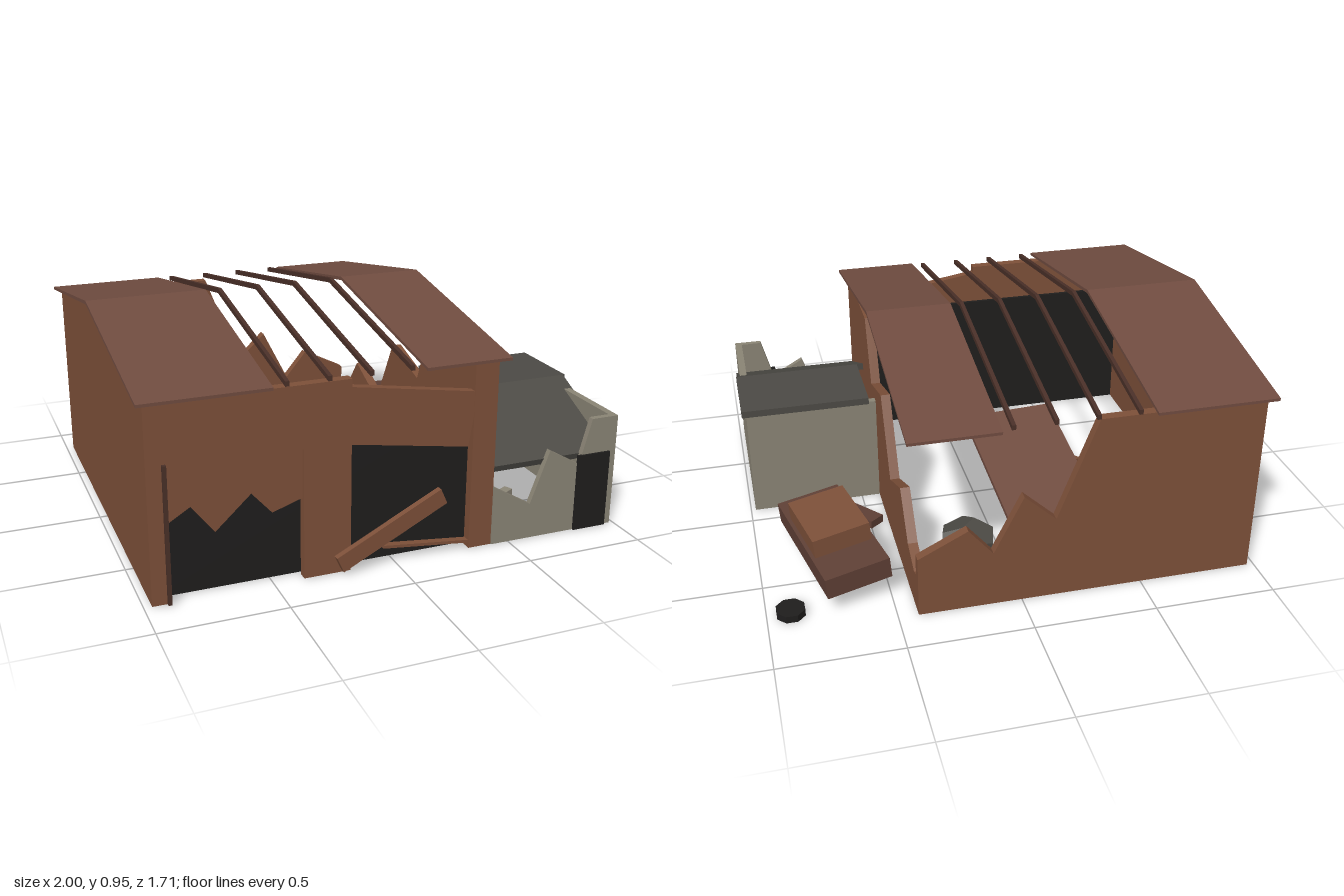
import * as THREE from 'three';

const mat = (color) => new THREE.MeshStandardMaterial({ color, flatShading: true, side: THREE.DoubleSide });

export function createModel() {
  const root = new THREE.Group();
  root.name = 'ruinedGarage';
  const brick = mat(0x7d5039), roofing = mat(0x704c40), wood = mat(0x4a3028), black = mat(0x1f1e1d);
  const plaster = mat(0x8a8475), slate = mat(0x4c4a45), rust = mat(0x5f4036), cabMat = mat(0x7d5039);

  const add = (name, geo, material, pos = [0, 0, 0], rot = [0, 0, 0], parent = root) => {
    const m = new THREE.Mesh(geo, material);
    m.name = name;
    m.position.set(...pos);
    m.rotation.set(...rot);
    parent.add(m);
    return m;
  };
  const box = (name, size, pos, material, rot, parent) =>
    add(name, new THREE.BoxGeometry(...size), material, pos, rot, parent);
  const plate = (pts, depth) => new THREE.ExtrudeGeometry(
    new THREE.Shape(pts.map(([x, y]) => new THREE.Vector2(x, y))), { depth, bevelEnabled: false });
  // Wall parallel to the front: points are (x, y), back face at z
  const wallX = (name, pts, z, depth, material) => add(name, plate(pts, depth), material, [0, 0, z]);
  // Wall parallel to the side: points are (z, y), outer face at x
  const wallZ = (name, pts, x, depth, material) =>
    add(name, plate(pts, depth), material, [x, 0, 0], [0, -Math.PI / 2, 0]);

  // Front wall: piers, header over the door, sagging lintel
  wallX('frontWall', [[-0.97, 0], [-0.9, 0], [-0.9, 0.53], [-0.38, 0.53], [-0.38, 0], [-0.19, 0],
    [-0.19, 0.78], [-0.97, 0.78]], 0.78, 0.04, brick);
  box('frontPier', [0.1, 0.78, 0.04], [0.37, 0.39, 0.8], brick);
  wallX('saggingLintel', [[-0.19, 0.52], [0.3, 0.44], [0.335, 0.663], [-0.19, 0.747]], 0.782, 0.036, brick);
  wallX('brokenDoor', [[-0.9, 0.53], [-0.9, 0.31], [-0.81, 0.365], [-0.72, 0.25], [-0.58, 0.38],
    [-0.5, 0.29], [-0.38, 0.33], [-0.38, 0.53]], 0.785, 0.02, brick);
  box('doorRail', [0.015, 0.55, 0.02], [-0.905, 0.275, 0.825], wood);
  box('darkBacking', [1.29, 0.61, 0.015], [-0.305, 0.305, 0.755], black);

  // Left gable wall, broken back wall and broken side wall
  wallZ('gableWall', [[-0.82, 0], [0.82, 0], [0.82, 0.785], [0, 0.93], [-0.82, 0.785]], -0.93, 0.04, brick);
  wallX('brokenBackWall', [[-0.97, 0], [0.42, 0], [0.42, 0.26], [0.22, 0.36], [0.12, 0.24], [0, 0.48],
    [-0.13, 0.36], [-0.29, 0.78], [-0.97, 0.78]], -0.82, 0.04, brick);
  wallZ('brokenSideWall', [[0.82, 0], [0.82, 0.78], [0.3, 0.78], [0.19, 0.51], [-0.07, 0.585],
    [-0.24, 0.27], [-0.48, 0.375], [-0.62, 0.2], [-0.74, 0.15], [-0.82, 0.18], [-0.82, 0]], 0.42, 0.04, brick);

  // Two remaining strips of pitched roof
  const pitch = [[-0.855, 0.785], [0, 0.93], [0.855, 0.785], [0.855, 0.797], [0, 0.945], [-0.855, 0.797]];
  wallZ('roofLeftStrip', pitch, -0.505, 0.495, roofing);
  wallZ('roofRightStrip', pitch, 0.455, 0.357, roofing);

  // Bare rafters between the strips
  const rafter = [[-0.83, 0.785], [0, 0.925], [0.83, 0.785], [0.83, 0.805], [0, 0.945], [-0.83, 0.805]];
  for (const x of [-0.445, -0.28, -0.115, 0.05]) wallZ('rafter', rafter, x + 0.008, 0.016, wood);

  // Fallen roof slab inside
  const slab = box('fallenRoofSlab', [0.41, 0.02, 0.93], [-0.235, 0.17, -0.275], roofing, [-0.28, 0.08, 0]);
  slab.rotation.order = 'YXZ';

  // Annex walls, door, flat roof and collapsed roof piece
  wallX('annexFrontWall', [[0.42, 0], [0.98, 0], [0.98, 0.48], [0.86, 0.48], [0.81, 0.29], [0.67, 0.37],
    [0.59, 0.15], [0.42, 0.25]], 0.8, 0.025, plaster);
  box('annexSideWall', [0.03, 0.48, 0.74], [0.965, 0.24, 0.45], plaster);
  box('annexBackWall', [0.56, 0.48, 0.03], [0.7, 0.24, 0.095], plaster);
  box('annexDoor', [0.15, 0.33, 0.012], [0.875, 0.165, 0.828], black);
  box('annexRoof', [0.545, 0.03, 0.34], [0.727, 0.5, 0.22], slate);
  wallZ('annexCollapsedRoof', [[0.39, 0.485], [0.39, 0.515], [0.805, 0.33], [0.795, 0.303]], 0.99, 0.565, slate);

  // Planks leaning at the front opening
  box('leaningPlank', [0.49, 0.07, 0.025], [-0.025, 0.15, 0.832], brick, [0, 0.06, 0.43]);
  box('lowPlank', [0.37, 0.012, 0.03], [0.135, 0.048, 0.8], brick, [0, 0, -0.11]);

  // Wrecked vehicle: slightly rolled body and cab
  const wreck = new THREE.Group();
  wreck.name = 'wreck';
  wreck.position.set(0.695, 0.135, -0.42);
  wreck.rotation.set(0, 0.21, -0.09, 'YXZ');
  root.add(wreck);
  box('wreckBody', [0.27, 0.09, 0.6], [0, 0, 0], rust, [0, 0, 0], wreck);
  box('wreckCab', [0.24, 0.08, 0.31], [0, 0.085, 0.01], cabMat, [0, 0, 0], wreck);

  // Loose wheel
  add('looseWheel', new THREE.CylinderGeometry(0.06, 0.06, 0.03, 8), black, [0.905, 0.015, -0.695], [0, Math.PI / 8, 0]);

  // Rubble: position, size, turn, tilt, material
  const rubble = [
    [[0.525, 0.02, -0.11], [0.075, 0.035, 0.16], 0.7, 0.05, rust],
    [[-0.23, 0.03, 0.39], [0.06, 0.05, 0.08], 0.6, 0.2, plaster],
    [[-0.5, 0.035, 0.08], [0.05, 0.05, 0.05], 0.8, 0.1, brick],
    [[0.7, 0.02, 0.45], [0.04, 0.04, 0.04], 0.4, 0.1, plaster],
  ];
  for (const [pos, size, turn, tilt, m] of rubble) box('rubble', size, pos, m, [0, turn, tilt]);
  for (const [x, y, z, r, m] of [[0.15, 0.1, -0.52, 0.13, slate], [0.24, 0.06, -0.62, 0.09, plaster]]) {
    const rock = add('rock', new THREE.DodecahedronGeometry(r), m, [x, y, z], [0, x * 5, 0]);
    rock.scale.y = 0.75;
  }
  return root;
}
